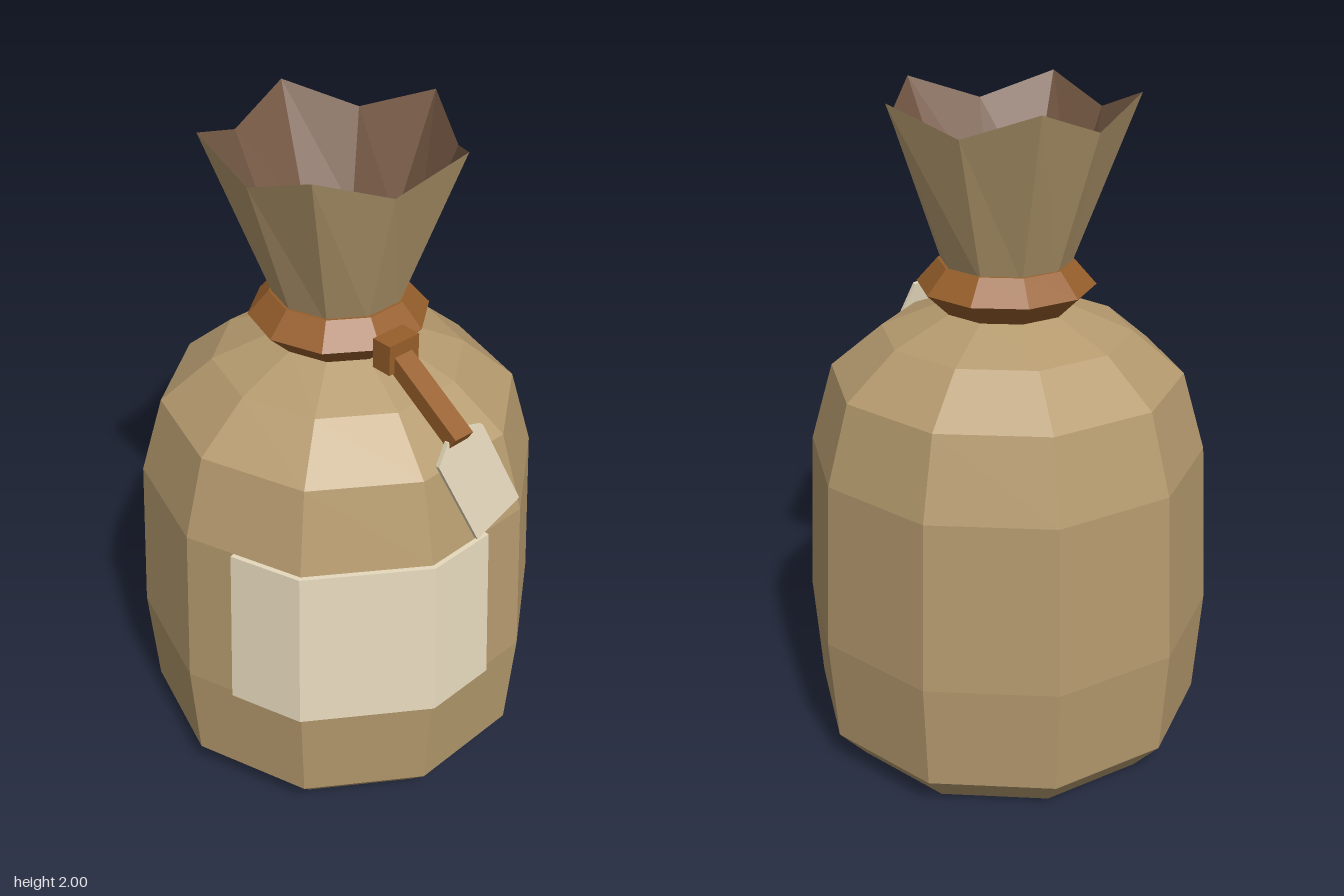
import * as THREE from 'three';

const SIDES = 10;

function flat(name, color) {
  const m = new THREE.MeshStandardMaterial({ color, flatShading: true });
  m.name = name;
  return m;
}

// Ten-sided turned shape with a corner pointing along +x
function turned(profile) {
  const pts = profile.map(([r, y]) => new THREE.Vector2(r, y));
  return new THREE.LatheGeometry(pts, SIDES, Math.PI / 2);
}

// Pull one ring of a turned shape into alternating peaks and dips
function ruffle(geometry, ringSize, ring) {
  const pos = geometry.attributes.position;
  for (let i = 0; i <= SIDES; i++) {
    const a = Math.PI / 2 + (i / SIDES) * Math.PI * 2;
    const peak = i % 2 === 1;
    const r = peak ? 0.375 : 0.325;
    pos.setXYZ(i * ringSize + ring, r * Math.sin(a), peak ? 2 : 1.925, r * Math.cos(a));
  }
  geometry.computeVertexNormals();
  return geometry;
}

// Closed patch wrapped around the three front faces of the sack
function patchGeometry() {
  const corner = (deg) => new THREE.Vector2(Math.cos(deg * Math.PI / 180), Math.sin(deg * Math.PI / 180));
  const columns = [
    corner(108).lerp(corner(144), 0.58), corner(108),
    corner(72), corner(72).lerp(corner(36), 0.58),
  ];
  const section = [[0.623, 0.43], [0.642, 0.43], [0.611, 0.94], [0.594, 0.94]];
  const verts = [], index = [];
  for (const c of columns) for (const [r, y] of section) verts.push(c.x * r, y, c.y * r);
  for (let i = 0; i < 3; i++) {
    for (let j = 0; j < 4; j++) {
      const a = i * 4 + j, d = i * 4 + (j + 1) % 4;
      index.push(a, a + 4, d + 4, a, d + 4, d);
    }
  }
  index.push(0, 1, 2, 0, 2, 3, 12, 14, 13, 12, 15, 14); // end caps
  const g = new THREE.BufferGeometry();
  g.setAttribute('position', new THREE.Float32BufferAttribute(verts, 3));
  g.setIndex(index);
  g.computeVertexNormals();
  return g;
}

export function createModel() {
  const model = new THREE.Group();
  model.name = 'sack';

  const cloth = flat('cloth', 0xb59a6e);
  const lining = flat('lining', 0x785b46);
  const cord = flat('cord', 0x975f2b);
  const paper = flat('paleCloth', 0xe6dabd);

  const add = (name, geometry, material, parent = model) => {
    const mesh = new THREE.Mesh(geometry, material);
    mesh.name = name;
    parent.add(mesh);
    return mesh;
  };

  const bag = new THREE.Group();
  bag.name = 'bag';
  bag.position.z = -0.01;
  model.add(bag);

  // Sack body
  add('body', turned([
    [0, 0], [0.515, 0], [0.602, 0.1], [0.624, 0.43], [0.596, 0.94],
    [0.526, 1.18], [0.37, 1.31], [0.19, 1.385], [0.18, 1.45],
  ]), cloth, bag);

  // Ruffled mouth: outside and lining
  add('mouth', ruffle(turned([[0.185, 1.5], [0.375, 2]]), 2, 1), cloth, bag);
  add('mouthLining', ruffle(turned([[0.375, 2], [0.222, 1.65], [0, 1.65]]), 3, 0), lining, bag);

  // Cord around the neck
  add('neckCord', turned([[0.17, 1.38], [0.19, 1.38], [0.262, 1.45], [0.2, 1.52], [0.17, 1.52]]), cord, bag);

  // Front patch
  add('patch', patchGeometry(), paper, bag);

  // Knot
  const knot = add('knot', new THREE.BoxGeometry(0.11, 0.09, 0.065), cord);
  knot.position.set(0.12, 1.455, 0.253);
  knot.rotation.y = 0.6;

  // Strap hanging from the knot to the tag
  const start = new THREE.Vector3(0.125, 1.442, 0.265);
  const end = new THREE.Vector3(0.261, 1.293, 0.473);
  const along = end.clone().sub(start);
  const strap = add('strap', new THREE.BoxGeometry(0.065, 0.05, along.length()), cord);
  strap.position.copy(start).lerp(end, 0.5);
  along.normalize();
  const across = new THREE.Vector3(0, 1, 0).cross(along).normalize();
  strap.quaternion.setFromRotationMatrix(
    new THREE.Matrix4().makeBasis(across, along.clone().cross(across), along));

  // Tag with clipped top corners
  const outline = [[0, 0], [0.174, 0], [0.174, 0.31], [0.118, 0.352], [0.056, 0.352], [0, 0.31]];
  const shape = new THREE.Shape(outline.map(([x, y]) => new THREE.Vector2(x, y)));
  const tagGeometry = new THREE.ExtrudeGeometry(shape, { depth: 0.014, bevelEnabled: false });
  tagGeometry.translate(0, 0, -0.007);
  const tag = add('tag', tagGeometry, paper);
  const u = new THREE.Vector3(0.77, 0.4, -0.486).normalize();
  const n = u.clone().cross(new THREE.Vector3(-0.387, 0.919, 0.08)).normalize();
  tag.quaternion.setFromRotationMatrix(new THREE.Matrix4().makeBasis(u, n.clone().cross(u), n));
  tag.position.set(0.322, 0.953, 0.472);

  return model;
}
